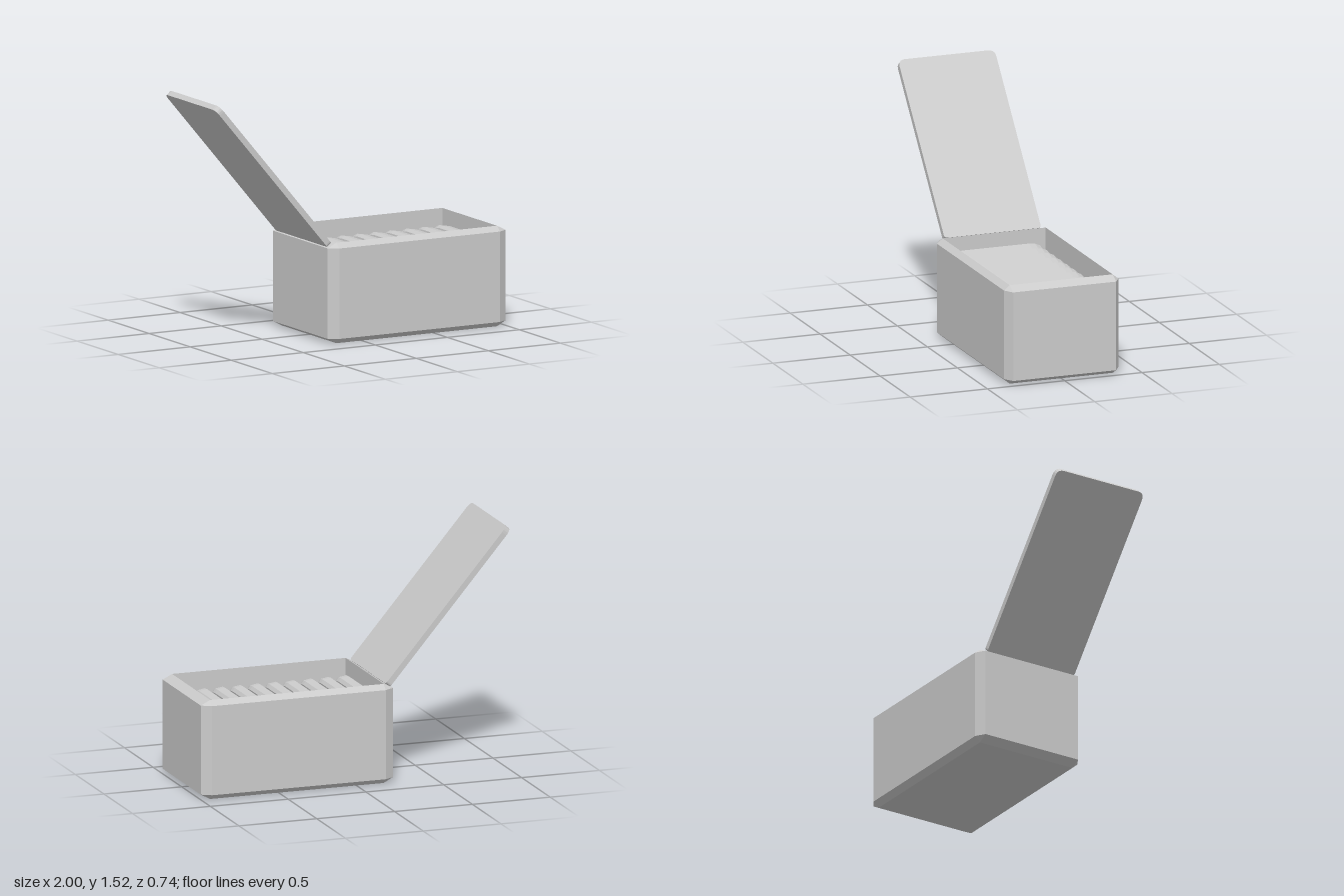
import * as THREE from 'three';

const material = new THREE.MeshStandardMaterial({ color: 0xcccccc, flatShading: true });
const X0 = -0.235, X1 = 1.0, Z = 0.37, CX = 0.06, CZ = 0.037;

// Horizontal loop of eight points; a cut of 0 gives the inset rectangle with doubled corners
function loop(y, chamfered) {
  const a = X0 + CX, b = X1 - CX, c = Z - CZ;
  const ox = chamfered ? CX : 0, oz = chamfered ? CZ : 0;
  return [
    [b + ox, c], [b + ox, -c], [b, -c - oz], [a, -c - oz],
    [a - ox, -c], [a - ox, c], [a, c + oz], [b, c + oz],
  ].map(([x, z]) => new THREE.Vector3(x, y, z));
}

// Skin consecutive loops, close both ends and drop collapsed triangles
function skin(loops) {
  const points = [];
  const tri = (a, b, c) => {
    if (new THREE.Triangle(a, b, c).getArea() > 1e-7) points.push(a, b, c);
  };
  for (let k = 0; k < loops.length - 1; k++) {
    const lo = loops[k], hi = loops[k + 1];
    for (let i = 0; i < 8; i++) {
      const j = (i + 1) % 8;
      tri(lo[i], lo[j], hi[j]);
      tri(lo[i], hi[j], hi[i]);
    }
  }
  const first = loops[0], last = loops[loops.length - 1];
  for (let i = 1; i < 7; i++) {
    tri(first[0], first[i + 1], first[i]);
    tri(last[0], last[i], last[i + 1]);
  }
  const geometry = new THREE.BufferGeometry().setFromPoints(points);
  geometry.computeVertexNormals();
  return geometry;
}

// Upright plate in the z-y plane, base at y = 0, with rounded corners and a small edge bevel
function plate(halfWidth, height, thickness, topRadius, bottomRadius, bevel) {
  const w = halfWidth - bevel, lo = bevel, hi = height - bevel;
  const s = new THREE.Shape();
  s.moveTo(-w + bottomRadius, lo);
  s.lineTo(w - bottomRadius, lo);
  s.quadraticCurveTo(w, lo, w, lo + bottomRadius);
  s.lineTo(w, hi - topRadius);
  s.quadraticCurveTo(w, hi, w - topRadius, hi);
  s.lineTo(-w + topRadius, hi);
  s.quadraticCurveTo(-w, hi, -w, hi - topRadius);
  s.lineTo(-w, lo + bottomRadius);
  s.quadraticCurveTo(-w, lo, -w + bottomRadius, lo);
  const depth = thickness - 2 * bevel;
  const geometry = new THREE.ExtrudeGeometry(s, {
    depth, curveSegments: 5, bevelEnabled: bevel > 0,
    bevelThickness: bevel, bevelSize: bevel, bevelSegments: 1,
  });
  return geometry.translate(0, 0, -depth / 2).rotateY(Math.PI / 2);
}

function add(parent, name, geometry) {
  const mesh = new THREE.Mesh(geometry, material);
  mesh.name = name;
  parent.add(mesh);
  return mesh;
}

export function createModel() {
  const model = new THREE.Group();
  model.name = 'openBox';

  // Chamfered case, open at the top, with straight inner walls
  add(model, 'case', skin([
    loop(0, false), loop(0.032, true), loop(0.587, true), loop(0.617, false), loop(0.3, false),
  ]));

  // Row of slightly leaning cards with rounded top corners
  const cards = new THREE.Group();
  cards.name = 'cards';
  model.add(cards);
  const cardGeometry = plate(0.33, 0.24, 0.085, 0.1, 0.01, 0.018);
  for (let i = 0; i < 10; i++) {
    const card = add(cards, 'card', cardGeometry);
    card.position.set(-0.165 + i * 0.1135, 0.295, 0);
    card.rotation.z = -0.17;
  }

  // Lid swung open on the end edge
  const lid = add(model, 'lid', plate(0.313, 1.198, 0.036, 0.045, 0.02, 0));
  lid.position.set(-0.21, 0.6, 0);
  lid.rotation.z = Math.atan2(0.777, 0.912);

  return model;
}
